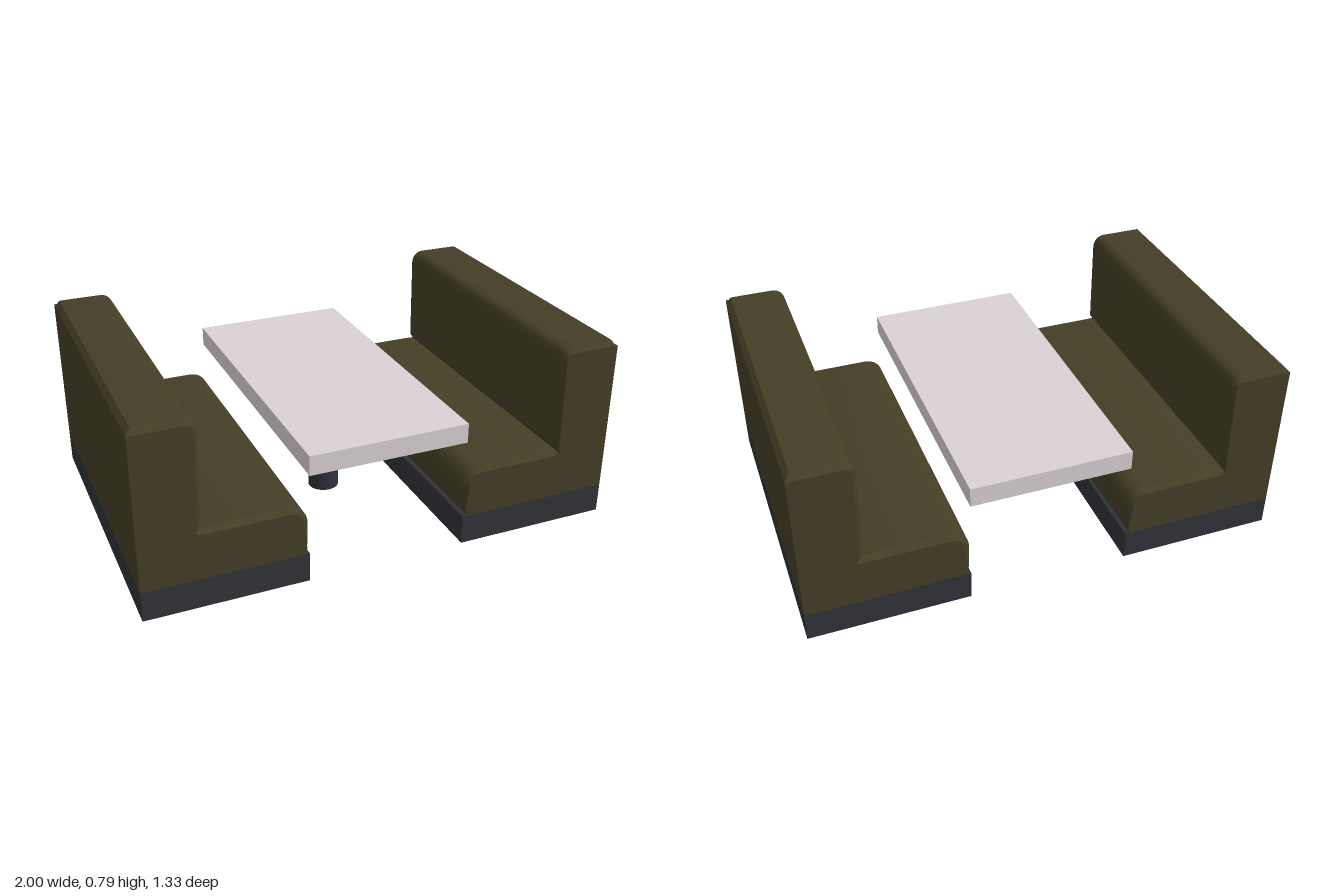
import * as THREE from 'three';
import { toCreasedNormals } from 'three/addons/utils/BufferGeometryUtils.js';

const HALF = 0.667;   // half length of benches and table
const BEVEL = 0.022;  // size of the bevel at the cushion ends

const mat = (color) => new THREE.MeshStandardMaterial({ color });

// Side profile of the upholstery; d pulls the top and front edges inward
function profile(d) {
  const s = new THREE.Shape();
  s.moveTo(1, 0.125);
  s.lineTo(1, 0.77);
  s.lineTo(0.979, 0.792 - d);
  // rounded top of the backrest
  s.lineTo(0.8, 0.792 - d);
  s.bezierCurveTo(0.772, 0.792 - d, 0.749 + d * 0.7, 0.769 - d * 0.6, 0.749 + d * 0.7, 0.74);
  // slight crease where backrest meets seat
  s.lineTo(0.754 + d * 0.8, 0.355 - d * 0.4);
  s.lineTo(0.777 + d * 0.1, 0.325 - d * 0.1);
  s.lineTo(0.75, 0.335 - d * 0.8);
  // rounded front of the seat
  s.lineTo(0.415, 0.335 - d * 0.8);
  s.bezierCurveTo(0.37, 0.335 - d * 0.8, 0.335 + d, 0.3 - d * 0.5, 0.335 + d, 0.255);
  s.lineTo(0.337 + d * 0.4, 0.15);
  s.lineTo(0.357, 0.125);
  return s.getPoints(8);
}

// Loft the profile along z, with smaller end sections forming the bevels
function upholsteryGeometry() {
  const outer = profile(0), inner = profile(BEVEL), n = outer.length;
  const sections = [
    [inner, -HALF], [outer, -HALF + BEVEL], [outer, HALF - BEVEL], [inner, HALF],
  ];
  const pos = [], index = [];
  for (const [pts, z] of sections) for (const p of pts) pos.push(p.x, p.y, z);
  for (let k = 0; k < sections.length - 1; k++) {
    for (let i = 0; i < n; i++) {
      const j = (i + 1) % n;
      const a = k * n + i, b = k * n + j, c = b + n, e = a + n;
      index.push(a, b, c, a, c, e);
    }
  }
  // end caps
  const last = (sections.length - 1) * n;
  for (const [a, b, c] of THREE.ShapeUtils.triangulateShape(inner, [])) {
    index.push(last + a, last + b, last + c, a, c, b);
  }
  const g = new THREE.BufferGeometry();
  g.setAttribute('position', new THREE.Float32BufferAttribute(pos, 3));
  g.setIndex(index);
  return toCreasedNormals(g, 0.5);
}

export function createModel() {
  const model = new THREE.Group();
  model.name = 'diningBooth';
  const olive = mat(0x443e26), dark = mat(0x303238), pale = mat(0xdad1d4);

  const add = (parent, name, geometry, material, x, y, z) => {
    const m = new THREE.Mesh(geometry, material);
    m.name = name;
    m.position.set(x, y, z);
    parent.add(m);
  };

  // Two facing benches
  const cushion = upholsteryGeometry();
  const plinth = new THREE.BoxGeometry(0.665, 0.125, HALF * 2);
  for (const side of ['left', 'right']) {
    const bench = new THREE.Group();
    bench.name = side + 'Bench';
    add(bench, 'upholstery', cushion, olive, 0, 0, 0);
    add(bench, 'plinth', plinth, dark, 0.6675, 0.0625, 0);
    if (side === 'right') bench.rotation.y = Math.PI;
    model.add(bench);
  }

  // Table on a single post
  const table = new THREE.Group();
  table.name = 'table';
  add(table, 'tableTop', new THREE.BoxGeometry(0.668, 0.083, HALF * 2), pale, 0, 0.51, 0);
  add(table, 'tablePost', new THREE.CylinderGeometry(0.067, 0.067, 0.47, 32), dark, 0, 0.235, 0);
  model.add(table);

  return model;
}
